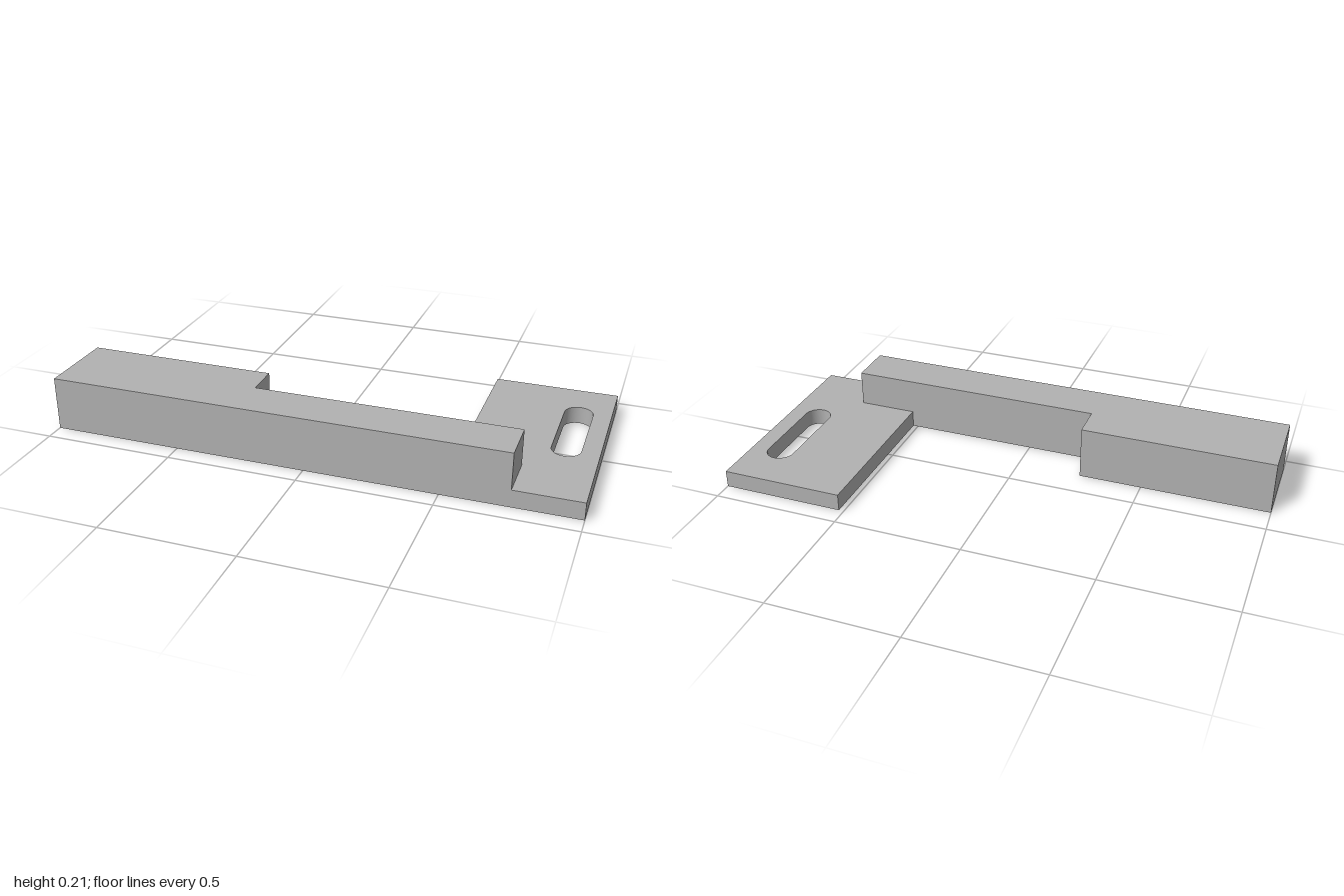
import * as THREE from 'three';

const HEIGHT = 0.208, PLATE = 0.067;      // overall and plate thickness
const FRONT = 0.427, BACK = -0.427;       // z limits
const BAR_BACK = 0.248, PAD_BACK = 0.113; // rear edges of bar and thick end
const PAD_END = -0.255, PLATE_START = 0.52, BAR_END = 0.75;

// Extrude an x/z outline vertically between two heights
function slab(name, shape, bottom, top, material) {
  const geometry = new THREE.ExtrudeGeometry(shape, {
    depth: top - bottom, bevelEnabled: false, curveSegments: 24,
  });
  geometry.rotateX(Math.PI / 2).translate(0, top, 0);
  const mesh = new THREE.Mesh(geometry, material);
  mesh.name = name;
  return mesh;
}

const outline = (points) => new THREE.Shape(points.map(([x, z]) => new THREE.Vector2(x, z)));

// Rounded slot running along z
function slot(x, zMin, zMax, r) {
  const path = new THREE.Path();
  path.absarc(x, zMax - r, r, 0, Math.PI, false);
  path.absarc(x, zMin + r, r, Math.PI, Math.PI * 2, false);
  path.closePath();
  return path;
}

export function createModel() {
  const group = new THREE.Group();
  group.name = 'slottedBracket';
  const metal = new THREE.MeshStandardMaterial({ color: 0xb2b2b2 });
  metal.name = 'grey metal';

  // Lower layer: foot of the bar running into the slotted mounting plate
  const base = outline([
    [-1, FRONT], [-1, PAD_BACK], [PAD_END, PAD_BACK], [PAD_END, BAR_BACK],
    [PLATE_START, BAR_BACK], [PLATE_START, BACK], [1, BACK], [1, FRONT],
  ]);
  base.holes.push(slot(0.878, -0.275, 0.132, 0.054));
  group.add(slab('mountingPlate', base, 0, PLATE, metal));

  // Upper layer: raised bar with its thicker end
  const bar = outline([
    [-1, FRONT], [-1, PAD_BACK], [PAD_END, PAD_BACK], [PAD_END, BAR_BACK],
    [BAR_END, BAR_BACK], [BAR_END, FRONT],
  ]);
  group.add(slab('steppedBar', bar, PLATE, HEIGHT, metal));

  return group;
}
